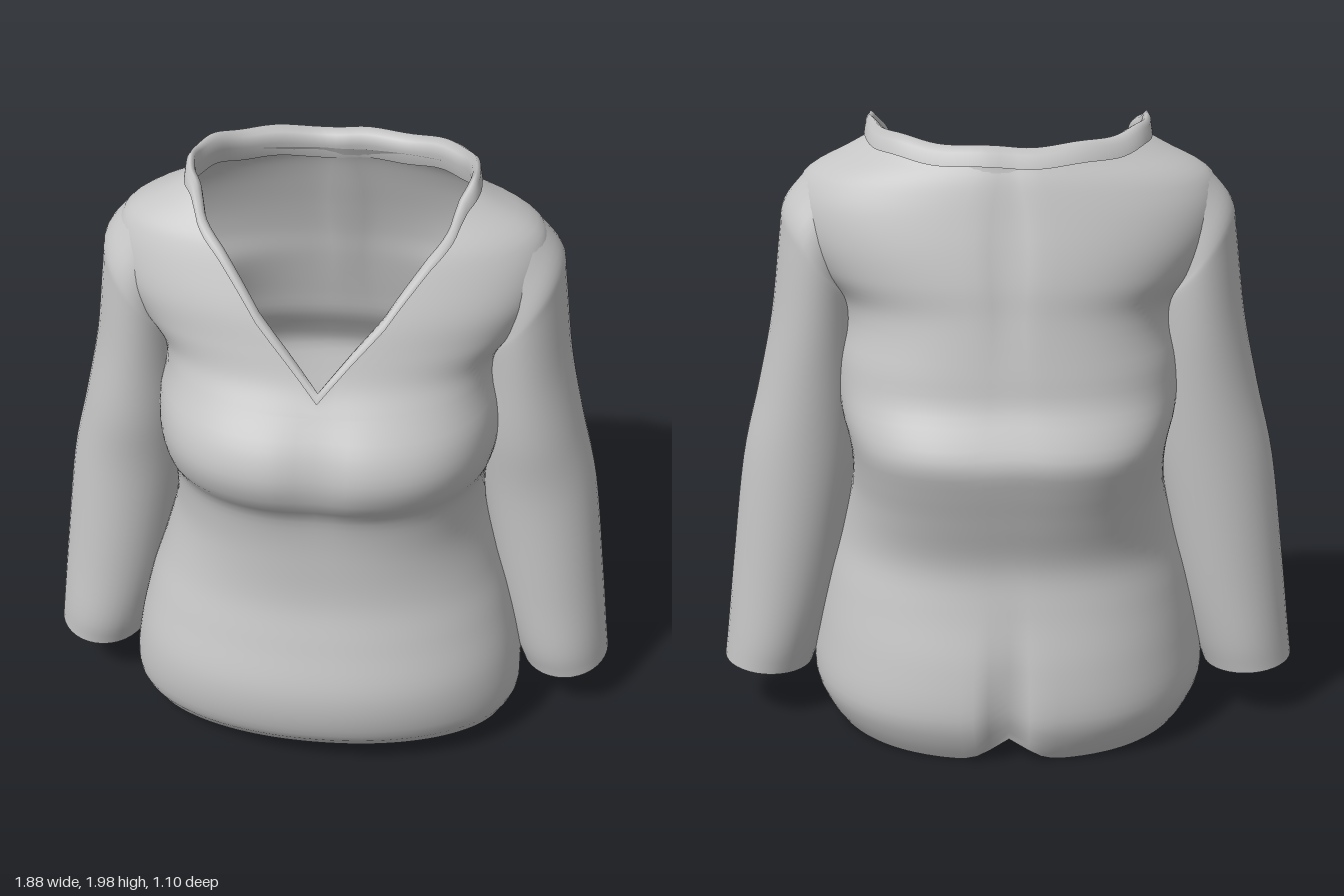
import * as THREE from 'three';

const cloth = new THREE.MeshStandardMaterial({ color: 0xc4c4c4, side: THREE.DoubleSide });
cloth.name = 'plain grey cloth';

// Smooth curve through [key, value, value...] rows, evaluated per column
function along(rows, t, col) {
  const last = rows.length - 1;
  let i = 0;
  while (i < last - 1 && t > rows[i + 1][0]) i++;
  const slope = (k) => {
    const a = rows[Math.max(k - 1, 0)], b = rows[Math.min(k + 1, last)];
    return (b[col] - a[col]) / (b[0] - a[0]);
  };
  const a = rows[i], b = rows[i + 1], h = b[0] - a[0];
  const s = THREE.MathUtils.clamp((t - a[0]) / h, 0, 1), s2 = s * s, s3 = s2 * s;
  return a[col] * (2 * s3 - 3 * s2 + 1) + slope(i) * h * (s3 - 2 * s2 + s)
    + b[col] * (3 * s2 - 2 * s3) + slope(i + 1) * h * (s3 - s2);
}
const gauss = (v, width) => Math.exp(-((v / width) ** 2));

// Closed rings joined into one smooth skin; skip() leaves holes
function loft(name, rows, cols, point, flip = false, skip = null) {
  const pos = [], index = [], pts = [];
  for (let i = 0; i <= rows; i++) for (let j = 0; j < cols; j++) {
    const p = point(i, j);
    pts.push(p);
    pos.push(p.x, p.y, p.z);
  }
  for (let i = 0; i < rows; i++) for (let j = 0; j < cols; j++) {
    const a = i * cols + j, b = i * cols + (j + 1) % cols, c = b + cols, d = a + cols;
    if (skip && skip(pts[a].clone().add(pts[c]).multiplyScalar(0.5))) continue;
    if (flip) index.push(a, c, b, a, d, c);
    else index.push(a, b, c, a, c, d);
  }
  const g = new THREE.BufferGeometry();
  g.setAttribute('position', new THREE.Float32BufferAttribute(pos, 3));
  g.setIndex(index);
  g.computeVertexNormals();
  const mesh = new THREE.Mesh(g, cloth);
  mesh.name = name;
  return mesh;
}

// Torso: height, half width, front z, back z, front squareness, back squareness, z of widest point
const TORSO = [
  [0.00, 0.56, 0.42, -0.48, 2.1, 2.5, 0.12], [0.07, 0.61, 0.46, -0.52, 2.1, 2.5, 0.12],
  [0.16, 0.645, 0.53, -0.545, 2.1, 2.5, 0.12], [0.32, 0.63, 0.55, -0.525, 2.15, 2.5, 0.12],
  [0.50, 0.59, 0.50, -0.48, 2.2, 2.5, 0.09], [0.64, 0.545, 0.46, -0.46, 2.3, 2.5, 0.06],
  [0.80, 0.505, 0.45, -0.50, 2.4, 2.7, 0.02], [0.92, 0.50, 0.455, -0.535, 2.5, 2.9, 0],
  [1.00, 0.51, 0.475, -0.55, 2.5, 3.0, 0], [1.07, 0.53, 0.525, -0.52, 2.55, 2.9, 0],
  [1.16, 0.54, 0.55, -0.47, 2.6, 2.7, 0], [1.25, 0.535, 0.525, -0.45, 2.6, 2.6, 0],
  [1.35, 0.515, 0.45, -0.43, 2.6, 2.5, 0], [1.43, 0.53, 0.395, -0.415, 2.5, 2.4, 0],
  [1.52, 0.60, 0.36, -0.40, 2.4, 2.4, 0], [1.62, 0.65, 0.325, -0.375, 2.4, 2.4, 0],
  [1.72, 0.665, 0.28, -0.345, 2.3, 2.3, 0], [1.80, 0.64, 0.24, -0.32, 2.2, 2.1, 0],
  [1.84, 0.59, 0.21, -0.305, 2.2, 2.0, 0], [1.88, 0.51, 0.18, -0.285, 2.2, 1.9, 0],
  [1.93, 0.42, 0.15, -0.265, 2.2, 1.8, 0],
];
const COLS = 112, LOW = 44, ROWS = 76, SPLIT = 1.35;

function torsoPoint(y, angle) {
  const s = Math.sin(angle), c = Math.cos(angle), mid = along(TORSO, y, 6);
  const n = along(TORSO, y, c > 0 ? 4 : 5);
  const x = along(TORSO, y, 1) * Math.sign(s) * Math.abs(s) ** (2 / n);
  let z = mid + Math.abs(c) ** (2 / n) * (along(TORSO, y, c > 0 ? 2 : 3) - mid);
  if (c > 0) z -= 0.025 * gauss(x, 0.09) * gauss(y - 1.18, 0.16);
  else z += gauss(x, 0.045) * (0.07 * gauss(y - 0.1, 0.25) + 0.015 * gauss(y - 1.6, 0.3));
  return new THREE.Vector3(x, y, z);
}
// Hem dips towards the back, with a notch at the centre seam
function hemHeight(angle) {
  const c = Math.cos(angle);
  return 0.047 + 0.035 * c + (c < 0 ? 0.055 * gauss(Math.sin(angle), 0.1) : 0);
}
// V at the front (height by fraction of the half width), shallow scoop at the back
const VEE = [[0, 1.4], [0.13, 1.5], [0.25, 1.6], [0.36, 1.7], [0.52, 1.8], [0.82, 1.9], [1, 1.93]];
function neckHeight(angle) {
  const s = Math.abs(Math.sin(angle));
  return Math.cos(angle) > 0 ? along(VEE, s ** 0.87, 1) : 1.88 + 0.05 * s ** 2.2;
}
const angleOf = (j) => (j / COLS) * Math.PI * 2;

function torso() {
  const armhole = (p) => Math.abs(p.x) > 0.5
    && ((p.z + 0.015) / 0.13) ** 2 + ((p.y - 1.61) / 0.16) ** 2 < 1;
  return loft('torso', ROWS, COLS, (i, j) => {
    const a = angleOf(j), hem = hemHeight(a);
    const y = i <= LOW ? hem + (SPLIT - hem) * (i / LOW)
      : SPLIT + (neckHeight(a) - SPLIT) * ((i - LOW) / (ROWS - LOW));
    return torsoPoint(y, a);
  }, false, armhole);
}

// Folded collar band: [outward, up] offsets following the neckline
function collar() {
  const fold = [[0.005, -0.04], [-0.012, 0.01], [-0.005, 0.045], [0.025, 0.058], [0.055, 0.04], [0.07, 0.0]];
  return loft('collar', fold.length - 1, COLS, (i, j) => {
    const a = angleOf(j), p = torsoPoint(neckHeight(a), a), c = Math.cos(a);
    const k = c > 0 ? 0.45 + 0.55 * Math.abs(Math.sin(a)) ** 6 : 1;
    const side = 1 - 0.6 * Math.abs(Math.sin(a)) ** 4;
    const ripple = 0.004 * Math.sin(a * 11) * k;
    const out = fold[i][0] * k;
    return new THREE.Vector3(
      p.x + Math.sin(a) * out * side,
      p.y + fold[i][1] * k + ripple,
      p.z + c * out + (c < 0 ? 0.012 * c : 0));
  });
}

// Sleeve rings: step, outer x, outer y, inner x, inner y, front z, back z
const SLEEVE = [
  [0, 0.938, 0.19, 0.65, 0.165, 0.165, -0.19], [1, 0.925, 0.30, 0.61, 0.28, 0.18, -0.2],
  [2, 0.90, 0.52, 0.55, 0.5, 0.17, -0.2], [3, 0.855, 0.88, 0.485, 0.86, 0.16, -0.2],
  [4, 0.80, 1.12, 0.465, 1.1, 0.18, -0.205], [5, 0.75, 1.36, 0.465, 1.29, 0.185, -0.215],
  [6, 0.718, 1.62, 0.47, 1.39, 0.19, -0.22], [7, 0.70, 1.72, 0.48, 1.41, 0.188, -0.215],
  [8, 0.625, 1.815, 0.50, 1.43, 0.175, -0.2],
];
function sleeve(name, side) {
  const steps = 40, cols = 36;
  return loft(name, steps, cols, (i, j) => {
    const t = (i / steps) * 8, v = (k) => along(SLEEVE, t, k);
    const a = (j / cols) * Math.PI * 2, c = Math.cos(a), s = Math.sin(a);
    const f = (1 + c) / 2;
    return new THREE.Vector3(
      side * (v(3) + (v(1) - v(3)) * f),
      v(4) + (v(2) - v(4)) * f,
      (v(5) + v(6)) / 2 - s * (v(5) - v(6)) / 2);
  }, side < 0);
}

export function createModel() {
  const blouse = new THREE.Group();
  blouse.name = 'blouse';
  blouse.add(torso(), collar(), sleeve('leftSleeve', 1), sleeve('rightSleeve', -1));
  return blouse;
}
